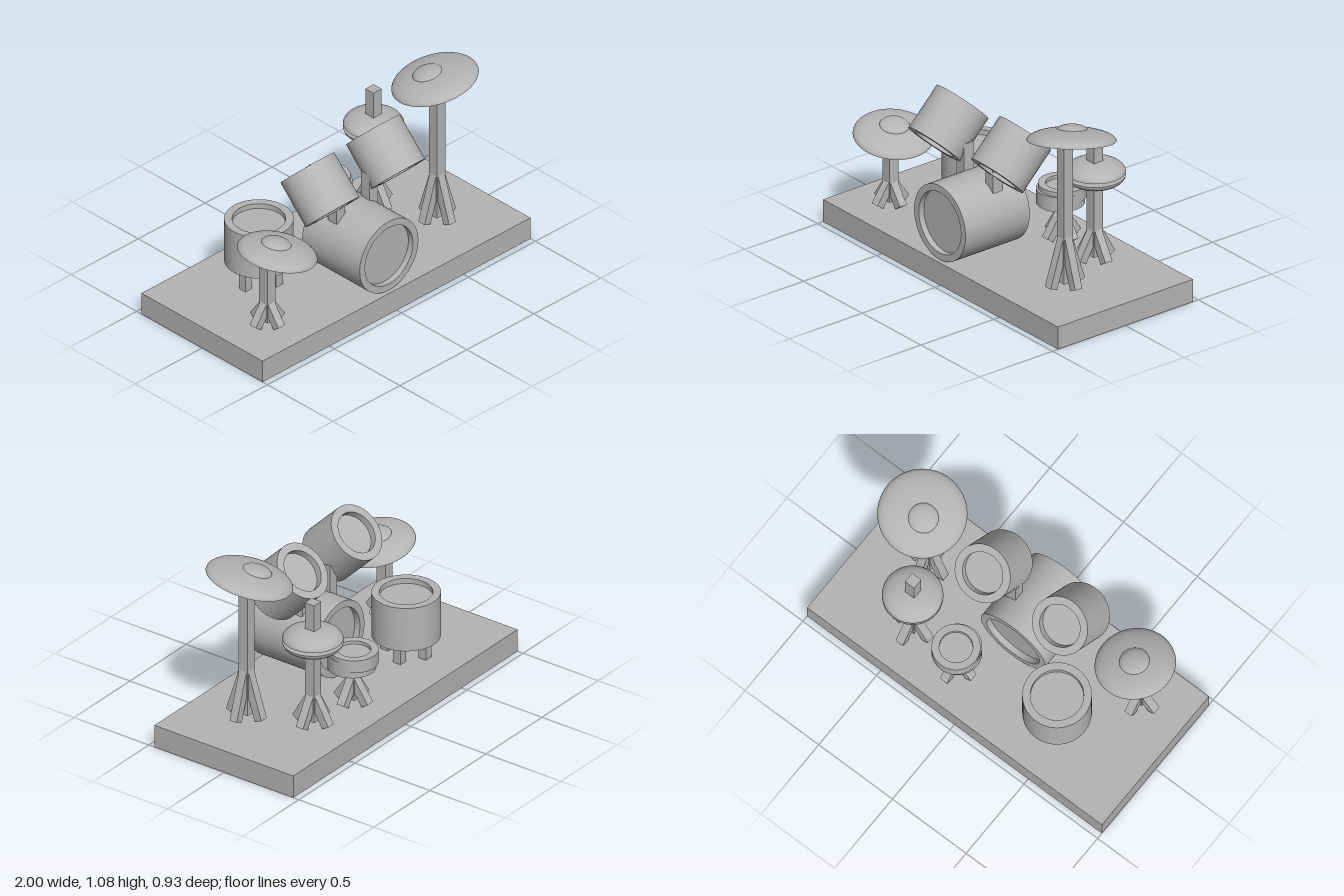
import * as THREE from 'three';
import { toCreasedNormals } from 'three/addons/utils/BufferGeometryUtils.js';

const grey = new THREE.MeshStandardMaterial({ color: 0xb4b4b4 });
grey.name = 'plain grey';

const FLOOR = 0.133;
const UP = new THREE.Vector3(0, 1, 0);

function add(parent, name, geometry, x = 0, y = 0, z = 0) {
  const mesh = new THREE.Mesh(geometry, grey);
  mesh.name = name;
  mesh.position.set(x, y, z);
  parent.add(mesh);
  return mesh;
}

function lathe(points, segments = 64) {
  const profile = points.map(([r, y]) => new THREE.Vector2(r, y));
  return toCreasedNormals(new THREE.LatheGeometry(profile, segments), 0.6);
}

// Drum shell centred on its axis, with sunken heads (depth 0 leaves an end flat)
function drumShape(r, inner, height, topDepth, bottomDepth) {
  const h = height / 2;
  const bottom = bottomDepth
    ? [[0, -h + bottomDepth], [inner, -h + bottomDepth], [inner, -h], [r, -h]]
    : [[0, -h], [r, -h]];
  const top = topDepth
    ? [[r, h], [inner, h], [inner, h - topDepth], [0, h - topDepth]]
    : [[r, h], [0, h]];
  return lathe([...bottom, ...top]);
}

// Flat-bottomed dome
function domeShape(r, h) {
  const points = [[0, 0], [r, 0]];
  for (let i = 1; i <= 16; i++) {
    const a = (i / 16) * Math.PI / 2;
    points.push([i === 16 ? 0 : r * Math.cos(a), h * Math.sin(a)]);
  }
  return lathe(points);
}

// Cymbal with a raised bell, tilted by its slopes along x and z
function cymbal(parent, name, r, pos, slopeX, slopeZ, bell) {
  const group = new THREE.Group();
  group.name = name;
  group.position.set(...pos);
  group.quaternion.setFromUnitVectors(UP, new THREE.Vector3(-slopeX, 1, -slopeZ).normalize());
  add(group, 'cymbalPlate', domeShape(r, 0.062));
  add(group, 'cymbalBell', domeShape(0.083, 0.03), bell[0], 0.052, bell[1]);
  parent.add(group);
}

// Square post with four splayed legs
function stand(parent, name, x, z, postTop, legTop, spread, width = 0.062) {
  const group = new THREE.Group();
  group.name = name;
  group.position.set(x, 0, z);
  const bottom = FLOOR + 0.03;
  add(group, 'post', new THREE.BoxGeometry(width, postTop - bottom, width), 0, (postTop + bottom) / 2, 0);
  for (let i = 0; i < 4; i++) {
    const a = i * Math.PI / 2;
    const pivot = new THREE.Group();
    pivot.rotation.y = a;
    const drop = legTop - FLOOR - 0.018;
    const leg = add(pivot, 'leg', new THREE.BoxGeometry(0.048, Math.hypot(drop, spread), 0.048),
      spread / 2, legTop - drop / 2, 0);
    leg.rotation.z = Math.atan2(spread, drop);
    group.add(pivot);
  }
  parent.add(group);
}

export function createModel() {
  const model = new THREE.Group();
  model.name = 'drumKit';

  // Platform
  add(model, 'platform', new THREE.BoxGeometry(2, FLOOR, 0.926), 0, FLOOR / 2, 0);

  // Bass drum lying along z
  const bass = add(model, 'bassDrum', drumShape(0.219, 0.179, 0.44, 0.035, 0.035), -0.034, 0.353, 0.22);
  bass.rotation.x = Math.PI / 2;

  // Tilted toms and their mounts
  for (const [x, z, postX] of [[-0.29, 0.175, -0.158], [0.219, 0.155, 0.088]]) {
    const tom = add(model, 'tom', drumShape(0.165, 0.12, 0.274, 0.04, 0.04), x, 0.767, z);
    tom.rotation.x = -0.78;
    add(model, 'tomMount', new THREE.BoxGeometry(0.064, 0.2, 0.064), postX, 0.61, 0.167);
  }

  // Floor tom on four short legs
  add(model, 'floorTom', drumShape(0.186, 0.143, 0.262, 0.03, 0), -0.441, 0.376, -0.138);
  for (const [dx, dz] of [[-0.13, 0.03], [0.02, 0.112], [-0.02, -0.11], [0.1, -0.03]]) {
    add(model, 'floorTomLeg', new THREE.BoxGeometry(0.05, 0.13, 0.05), -0.441 + dx, 0.195, -0.138 + dz);
  }

  // Snare: two slightly offset rings on a low stand
  add(model, 'snareTop', drumShape(0.131, 0.09, 0.075, 0.02, 0), 0.163, 0.4235, -0.242);
  add(model, 'snareBottom', drumShape(0.131, 0.09, 0.085, 0, 0), 0.163, 0.3925, -0.228);
  stand(model, 'snareStand', 0.163, -0.236, 0.36, 0.29, 0.095, 0.055);

  // Hi-hat: a pair of facing domes on a post
  add(model, 'hiHatTop', domeShape(0.164, 0.063), 0.484, 0.66, -0.208);
  add(model, 'hiHatBottom', domeShape(0.164, 0.063), 0.484, 0.64, -0.208).rotation.x = Math.PI;
  stand(model, 'hiHatStand', 0.482, -0.207, 0.88, 0.325, 0.1);

  // Tall cymbal
  cymbal(model, 'tallCymbal', 0.241, [0.652, 0.995, 0.09], 0.19, 0.17, [-0.02, -0.02]);
  stand(model, 'tallCymbalStand', 0.636, 0.122, 1.0, 0.45, 0.095);

  // Low cymbal
  cymbal(model, 'lowCymbal', 0.219, [-0.675, 0.57, 0.241], -0.2, -0.065, [-0.01, -0.01]);
  stand(model, 'lowCymbalStand', -0.727, 0.22, 0.58, 0.28, 0.09);

  return model;
}
